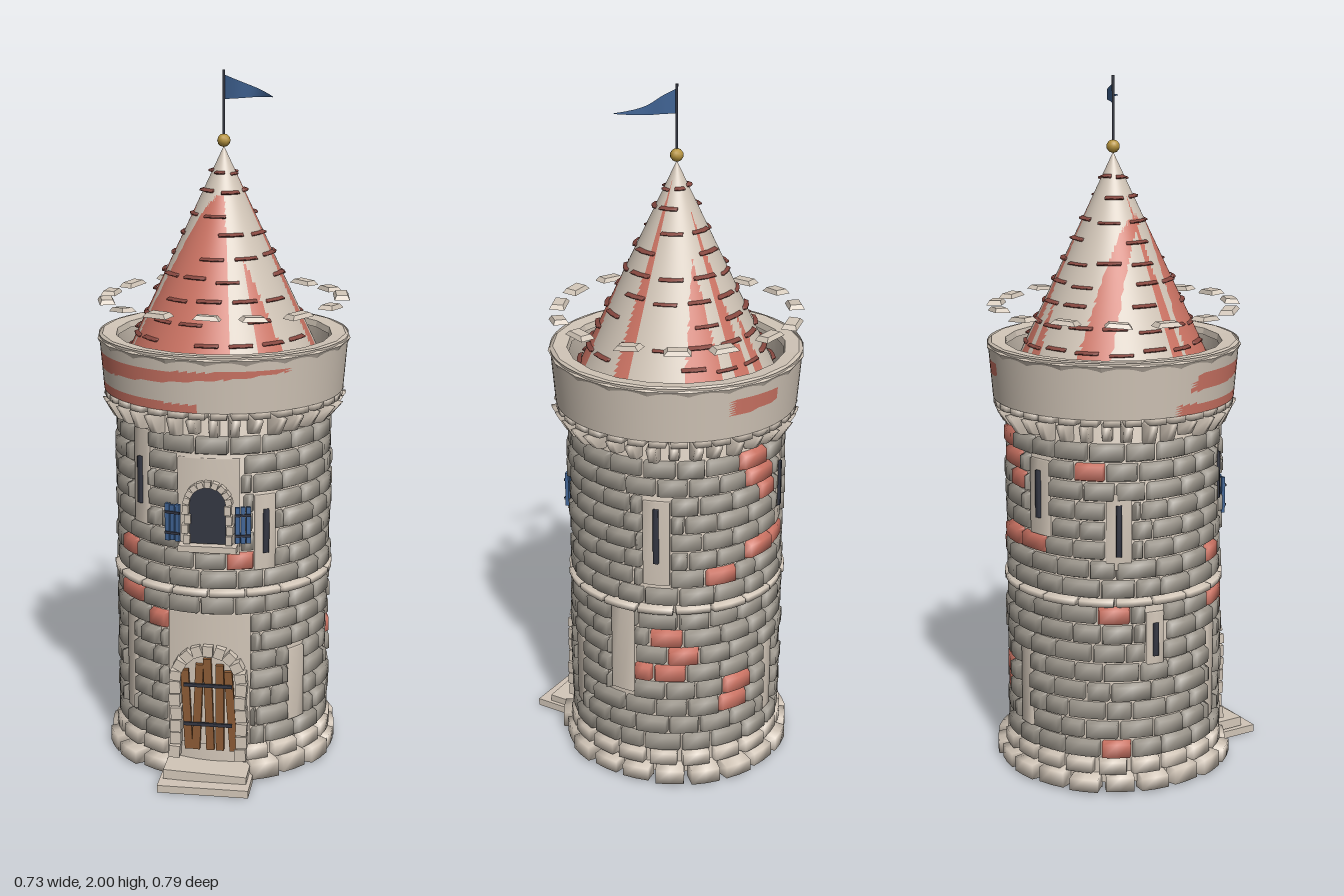
import * as THREE from 'three';
import { mergeGeometries } from 'three/addons/utils/BufferGeometryUtils.js';

const mat = (name, color, extra = {}) => new THREE.MeshStandardMaterial({ name, color, ...extra });
const RAD = Math.PI / 180;

// Seeded random numbers in 0..1
let seed = 7;
const rnd = () => (seed = (seed * 16807) % 2147483647) / 2147483647;
const jit = (s) => (rnd() - 0.5) * 2 * s;

// Pillow-shaped block wrapped on the tower; angles in degrees, 0 = front
function arcBlock(r0, r1, y0, y1, a0, a1, bevel = 0.008, rBottom = r1) {
  const b = bevel / r1 / RAD, m = (a0 + a1) / 2;
  const pos = [], idx = [];
  [a0, a0 + b, m, a1 - b, a1].forEach((a, j) => {
    const end = j === 0 || j === 4;
    [[r0, y0], [end ? r0 : rBottom, y0 + bevel], [end ? r0 : r1, y1 - bevel], [r0, y1]].forEach(([r, y]) =>
      pos.push(r * Math.sin(a * RAD), y, r * Math.cos(a * RAD)));
  });
  for (let j = 0; j < 4; j++) for (let k = 0; k < 3; k++) {
    const p = j * 4 + k, q = p + 4;
    idx.push(p, q, q + 1, p, q + 1, p + 1);
  }
  const g = new THREE.BufferGeometry();
  g.setAttribute('position', new THREE.Float32BufferAttribute(pos, 3));
  g.setIndex(idx);
  g.computeVertexNormals();
  return g;
}

// Sort faces into two colour groups by a test on the face centre
function paint(geo, test) {
  const src = geo.index.array, p = geo.attributes.position, lists = [[], []];
  const c = new THREE.Vector3(), v = new THREE.Vector3();
  for (let i = 0; i < src.length; i += 3) {
    c.set(0, 0, 0);
    for (let k = 0; k < 3; k++) c.add(v.fromBufferAttribute(p, src[i + k]));
    lists[test(c.divideScalar(3)) ? 1 : 0].push(src[i], src[i + 1], src[i + 2]);
  }
  geo.setIndex([...lists[0], ...lists[1]]);
  geo.clearGroups();
  geo.addGroup(0, lists[0].length, 0);
  geo.addGroup(lists[0].length, lists[1].length, 1);
  return geo;
}

function archShape(w, y0, spring) {
  const s = new THREE.Shape();
  s.moveTo(-w, y0);
  s.lineTo(w, y0);
  s.lineTo(w, spring);
  s.absarc(0, spring, w, 0, Math.PI, false);
  s.lineTo(-w, y0);
  return s;
}

function inTriangle(x, z, [ax, az, bx, bz, cx, cz]) {
  const d1 = (bx - ax) * (z - az) - (bz - az) * (x - ax);
  const d2 = (cx - bx) * (z - bz) - (cz - bz) * (x - bx);
  const d3 = (ax - cx) * (z - cz) - (az - cz) * (x - cx);
  return (d1 >= 0 && d2 >= 0 && d3 >= 0) || (d1 <= 0 && d2 <= 0 && d3 <= 0);
}

export function createModel() {
  const two = { side: THREE.DoubleSide };
  const cream = mat('pale stone', 0xd2c6b8, two), grey = mat('grey stone', 0x9c968c);
  const red = mat('red clay', 0xcd7464, two), darkRed = mat('dark tile edge', 0x86473f);
  const blue = mat('blue', 0x416596, two), gold = mat('gold', 0xb8953f);
  const wood = mat('wood', 0x8a5a34), dark = mat('dark opening', 0x333642, two);

  const model = new THREE.Group(), tower = new THREE.Group();
  tower.name = 'tower';
  tower.position.z = -0.03;
  model.add(tower);
  const add = (name, geo, material, x = 0, y = 0, z = 0) => {
    const m = new THREE.Mesh(geo, material);
    m.name = name;
    m.position.set(x, y, z);
    tower.add(m);
    return m;
  };
  const ring = (name, pts, material, sides = 64) =>
    add(name, new THREE.LatheGeometry(pts.map(([r, y]) => new THREE.Vector2(r, y)), sides), material);

  // Plain inner wall and ceiling
  ring('wall', [[0.297, 0.02], [0.297, 1.1], [0, 1.1]], cream);

  // Bare panels: angle, half width, bottom, top, then slit bottom and top
  const panels = [
    [0, 23, 0.1, 0.5], [0, 17, 0.68, 0.96], [52, 6, 0.15, 0.37], [-54, 5, 0.15, 0.45],
    [90, 7, 0.28, 0.565], [-177, 5, 0.15, 0.4],
    [-42, 6, 0.74, 1.02, 0.8, 0.94], [31, 6, 0.63, 0.85, 0.68, 0.81], [110, 7.5, 0.64, 0.9, 0.71, 0.88],
    [-164, 7, 0.74, 0.96, 0.79, 0.93], [-118, 7, 0.66, 0.88, 0.7, 0.85], [-98, 5, 0.36, 0.53, 0.4, 0.5],
  ];
  const plates = [], slits = [];
  panels.forEach(([a, w, y0, y1, s0, s1]) => {
    plates.push(arcBlock(0.295, 0.306, y0, y1, a - w, a + w, 0.002));
    if (s0) slits.push(arcBlock(0.302, 0.313, s0, s1, a - 1.7, a + 1.7, 0.002));
  });
  add('barePanels', mergeGeometries(plates), cream);
  add('arrowSlits', mergeGeometries(slits), dark);

  // Brick courses, cut around the panels; a few bricks are red
  const redSpots = [[-48, 0.66], [-33, 0.465], [-60, 0.53], [107, 0.46], [128, 0.41], [107, 0.35], [123, 0.35],
    [155, 0.24], [140, 0.66], [165, 0.99], [15, 0.66], [175, 0.94], [-130, 0.95], [-178, 0.88], [-167, 0.7],
    [178, 0.72], [-128, 0.53], [163, 0.3], [-112, 0.15]];
  const greyBricks = [], redBricks = [];
  for (const [bottom, top] of [[0.095, 0.555], [0.575, 1.025]]) {
    const h = (top - bottom) / 8;
    for (let row = 0; row < 8; row++) {
      const y0 = bottom + row * h, mid = y0 + h / 2, off = (row % 2) * 9 + jit(3);
      const cuts = Array.from({ length: 20 }, (_, i) => -180 + off + i * 18 + jit(2.5));
      cuts.push(cuts[0] + 360);
      for (let i = 0; i < 20; i++) {
        let parts = [[cuts[i], cuts[i + 1]]];
        for (const [a, w, p0, p1] of panels) for (const c of [a, a + 360])
          if (mid > p0 && mid < p1)
            parts = parts.flatMap(([s, e]) => e < c - w || s > c + w ? [[s, e]] : [[s, c - w], [c + w, e]])
              .filter(([s, e]) => e - s > 2.5);
        for (const [s, e] of parts) {
          const hit = redSpots.some(([a, y]) => Math.abs(y - mid) <= h / 2 &&
            [a, a + 360].some((t) => t >= s && t < e));
          (hit ? redBricks : greyBricks).push(
            arcBlock(0.294, 0.316 + jit(0.004), y0 + 0.001, y0 + h - 0.001, s + 0.2, e - 0.2, 0.008));
        }
      }
    }
  }
  add('greyBricks', mergeGeometries(greyBricks), grey);
  add('redBricks', mergeGeometries(redBricks), red);

  // Foot stones, middle band, corbels
  const trim = [];
  for (let i = 0; i < 18; i++) {
    const a = 20 + i * 17.8;
    trim.push(arcBlock(0.29, 0.343 + jit(0.008), 0, 0.055 + jit(0.006), a + 0.6, a + 16.8, 0.007));
    trim.push(arcBlock(0.29, 0.322 + jit(0.005), 0.05, 0.098, a - 3, a + 13, 0.006));
    trim.push(arcBlock(0.29, 0.32 + jit(0.003), 0.553, 0.577, i * 20 + 0.3, i * 20 + 19.7, 0.004));
  }
  for (let i = 0; i < 34; i++) {
    const a = i * 360 / 34 + jit(1);
    trim.push(arcBlock(0.29, 0.353 + jit(0.008), 1.025 + jit(0.008), 1.085, a, a + 6.5, 0.007, 0.325));
    trim.push(arcBlock(0.29, 0.345, 1.075, 1.105, a + 1, a + 10.5, 0.006));
  }
  add('stoneTrim', mergeGeometries(trim), cream);

  // Parapet drum with red streaks, inner face and faceted rim
  const drum = paint(new THREE.CylinderGeometry(0.36, 0.347, 0.16, 90, 24, true), ({ x, y, z }) => {
    const d = z > 0 ? x : -x - 0.15;
    const streak = d > -0.35 && d < 0.22 && Math.abs(y - (0.025 + d * 0.05)) < 0.016 * (0.26 - d) / 0.5 + 0.004;
    return z > 0 ? streak || (x < -0.03 && y < -0.058 - x * 0.02) : streak && x > 0.05;
  });
  add('parapet', drum, [cream, red], 0, 1.18, 0);
  ring('parapetInside', [[0.312, 1.255], [0.31, 1.11], [0.347, 1.1]], cream);
  const rim = ring('parapetRim', [[0.358, 1.235], [0.366, 1.25], [0.352, 1.262], [0.312, 1.258], [0.308, 1.24]], cream, 20);
  rim.geometry = rim.geometry.toNonIndexed();
  rim.geometry.computeVertexNormals();

  // Loose stone flakes hovering above the rim
  for (let i = 0; i < 15; i++) {
    const a = (i * 24 + jit(3)) * RAD;
    const flake = add('rimFlake', new THREE.CylinderGeometry(0.03, 0.042, 0.012, 4, 1), cream,
      0.338 * Math.sin(a), 1.362 + jit(0.004), 0.338 * Math.cos(a));
    flake.geometry.rotateY(Math.PI / 4).scale(1.25, 1, 0.75);
    flake.geometry = flake.geometry.toNonIndexed();
    flake.geometry.computeVertexNormals();
    flake.rotation.set(jit(0.08), a, jit(0.08));
  }

  // Cone roof; red patches given as plan triangles
  const patches = [
    [0.01, 0.06, -0.29, 0.1, -0.14, 0.31], [0.01, 0.06, -0.15, 0.31, 0.06, 0.27], [-0.05, 0.01, -0.32, 0.05, -0.3, 0.1],
    [-0.07, 0.05, -0.26, -0.19, -0.17, -0.27], [0, -0.18, -0.05, -0.32, 0.03, -0.32],
    [0.02, -0.05, 0.05, -0.32, 0.12, -0.3], [0.07, -0.09, 0.16, -0.29, 0.27, -0.18],
    [0.02, 0, 0.32, 0, 0.31, 0.06], [0.07, 0.12, 0.16, 0.29, 0.25, 0.2], [0.02, 0.2, 0.03, 0.32, 0.1, 0.31],
  ];
  const cone = paint(new THREE.ConeGeometry(0.31, 0.66, 120, 40, true),
    ({ x, z }) => patches.some((t) => inTriangle(x, z, t)));
  add('roof', cone, [cream, red], 0, 1.46, 0);

  // Tile edges in rows around the roof
  const tiles = [];
  for (let y = 1.2, row = 0; y < 1.73; y += 0.057, row++) {
    const r = (1.79 - y) * 0.47, n = Math.max(5, Math.round(r * 62)), step = 360 / n;
    for (let i = 0; i < n; i++) {
      if (rnd() < 0.2) continue;
      const a = (i + (row % 2) / 2) * step, ty = y + jit(0.006);
      tiles.push(arcBlock(r - 0.006, r + 0.007, ty, ty + 0.012, a, a + step * 0.72, 0.004));
    }
  }
  add('tileEdges', mergeGeometries(tiles), darkRed);

  // Finial, pole and curved pennant
  add('finial', new THREE.IcosahedronGeometry(0.019, 1), gold, 0, 1.805, 0);
  add('flagPole', new THREE.CylinderGeometry(0.004, 0.004, 0.2, 6), dark, 0, 1.9, 0);
  const flag = new THREE.PlaneGeometry(1, 1, 10, 2);
  const fp = flag.attributes.position;
  for (let i = 0; i < fp.count; i++) {
    const t = fp.getX(i) + 0.5, v = fp.getY(i);
    fp.setXYZ(i, 0.15 * t, 1.953 - 0.018 * t + v * 0.068 * (1 - t * 0.97), 0.11 * t * t + 0.012 * Math.sin(t * 6));
  }
  flag.computeVertexNormals();
  add('pennant', flag, blue);

  // Stones around an arched opening
  const archStones = (name, w, y0, spring, n, size, z) => {
    const g = new THREE.Group();
    g.name = name;
    const stone = (x, y, turn, len) => {
      const m = new THREE.Mesh(new THREE.BoxGeometry(size, len, 0.035), cream);
      m.position.set(x, y, z + jit(0.004));
      m.rotation.z = turn + jit(0.07);
      g.add(m);
    };
    const h = (spring - y0) / n;
    for (const s of [-1, 1]) for (let i = 0; i < n; i++) stone(s * (w + jit(0.004)), y0 + h * (i + 0.5), 0, h * 0.9);
    for (let i = 0; i < 9; i++) {
      const a = (i + 0.5) * Math.PI / 9;
      stone(w * Math.cos(a), spring + w * Math.sin(a), a, w * 0.3);
    }
    tower.add(g);
  };

  // Door with crooked planks
  archStones('doorArch', 0.095, 0.06, 0.3, 6, 0.032, 0.303);
  add('doorwayInside', new THREE.ShapeGeometry(archShape(0.09, 0.04, 0.3)), dark, 0, 0, 0.25);
  for (let i = 0; i < 5; i++) {
    const x = -0.062 + i * 0.032, h = 0.28 - Math.abs(i - 2) * 0.018;
    add('doorPlank', new THREE.BoxGeometry(0.023, h, 0.014), wood, x, 0.09 + h / 2, 0.31).rotation.z = jit(0.07);
  }
  for (const y of [0.17, 0.29]) add('doorBar', new THREE.BoxGeometry(0.14, 0.01, 0.008), dark, 0, y, 0.318);

  // Window with sill and shutters
  archStones('windowArch', 0.06, 0.715, 0.83, 4, 0.018, 0.305);
  add('windowOpening', new THREE.ShapeGeometry(archShape(0.052, 0.715, 0.835)), dark, 0, 0, 0.311);
  add('windowSill', new THREE.BoxGeometry(0.165, 0.018, 0.05), cream, 0, 0.703, 0.305);
  for (const s of [-1, 1]) {
    for (let i = 0; i < 3; i++)
      add('shutterBoard', new THREE.BoxGeometry(0.013, 0.105 + jit(0.004), 0.01), blue,
        s * (0.084 + i * 0.015), 0.775, 0.317 - i * 0.004).rotation.y = s * 0.3;
    for (const y of [0.745, 0.805])
      add('shutterBar', new THREE.BoxGeometry(0.045, 0.007, 0.006), dark, s * 0.099, y, 0.319).rotation.y = s * 0.25;
  }

  // Entrance steps
  add('lowerStep', new THREE.BoxGeometry(0.262, 0.022, 0.145), cream, 0, 0.011, 0.353);
  add('upperStep', new THREE.BoxGeometry(0.24, 0.028, 0.1), cream, 0, 0.034, 0.335).rotation.z = -0.04;
  return model;
}
